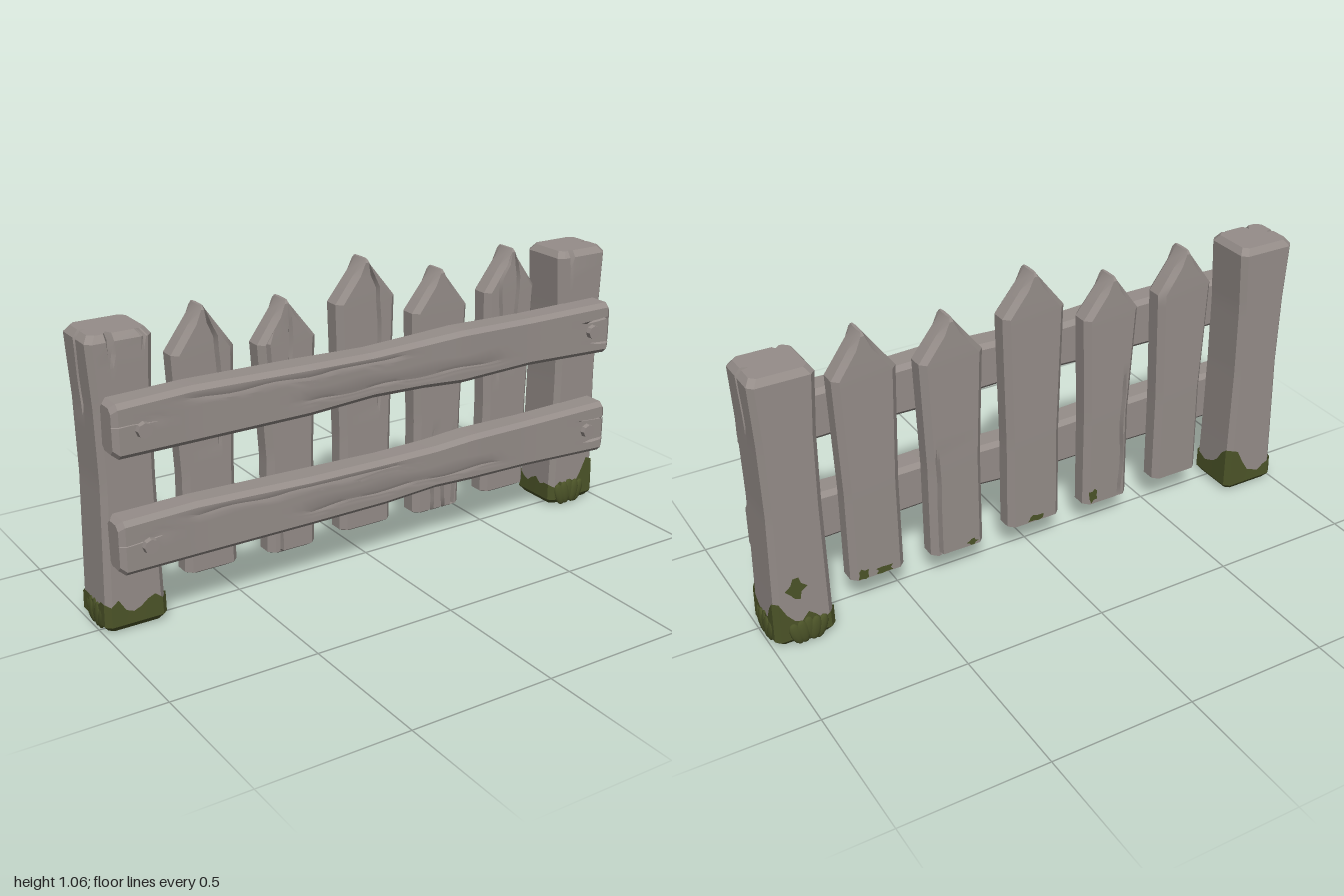
import * as THREE from 'three';
import { toCreasedNormals } from 'three/addons/utils/BufferGeometryUtils.js';

const wood = new THREE.MeshStandardMaterial({ name: 'weathered wood', color: 0x958d89 });
const moss = new THREE.MeshStandardMaterial({ name: 'moss', color: 0x4c5428, side: THREE.DoubleSide });

const upright = (u, v, t) => new THREE.Vector3(u, t, -v); // section swept up y
const lying = (u, v, t) => new THREE.Vector3(t, u, v);    // section swept along x

// Skin closed loops of points into a solid
function loft(rings, capTop = true) {
  const n = rings[0].length, pos = [], index = [];
  rings.forEach(r => r.forEach(p => pos.push(p.x, p.y, p.z)));
  for (let i = 0; i < rings.length - 1; i++) {
    for (let j = 0; j < n; j++) {
      const a = i * n + j, b = i * n + (j + 1) % n;
      index.push(a, b, b + n, a, b + n, a + n);
    }
  }
  const cap = (start, flip) => {
    const ring = rings[start / n];
    const mid = ring.reduce((s, p) => s.add(p), new THREE.Vector3()).divideScalar(n);
    const m = pos.length / 3;
    pos.push(mid.x, mid.y, mid.z);
    for (let j = 0; j < n; j++) {
      const a = start + j, b = start + (j + 1) % n;
      if (flip) index.push(m, b, a); else index.push(m, a, b);
    }
  };
  cap(0, true);
  if (capTop) cap((rings.length - 1) * n, false);
  const g = new THREE.BufferGeometry();
  g.setAttribute('position', new THREE.Float32BufferAttribute(pos, 3));
  g.setIndex(index);
  return toCreasedNormals(g, 0.5);
}

// Chamfered rectangle loop; cracks are V notches. Faces: 0 v0, 1 u1, 2 v1, 3 u0
function section([t, u0, u1, v0, v1], chamfer, cracks, map) {
  const P = [[u0, v0], [u1, v0], [u1, v1], [u0, v1]], out = [];
  for (let k = 0; k < 4; k++) {
    const a = P[k], b = P[(k + 1) % 4];
    const len = Math.abs(b[0] - a[0]) + Math.abs(b[1] - a[1]);
    const d = [(b[0] - a[0]) / len, (b[1] - a[1]) / len];
    const c = Math.min(chamfer, len * 0.25);
    const put = (s, depth) => out.push(map(a[0] + d[0] * s - d[1] * depth, a[1] + d[1] * s + d[0] * depth, t));
    put(c, 0);
    cracks.filter(q => q.face === k)
      .map(q => {
        const at = q.at + 0.004 * Math.sin(t * 23 + q.at * 40);
        const s = k % 2 ? (at - a[1]) * d[1] : (at - a[0]) * d[0];
        const fade = THREE.MathUtils.clamp(Math.min(t - q.from, q.to - t) / 0.06, 0, 1);
        return { s: THREE.MathUtils.clamp(s, len * 0.3 * Math.min(1, 0.1 / len), len - 0.3 * Math.min(len, 0.1)),
          w: Math.min(q.w, len * 0.08), depth: q.depth * fade * Math.min(1, len / 0.1) };
      })
      .sort((p, q) => p.s - q.s)
      .forEach(q => { put(q.s - q.w, 0); put(q.s, q.depth); put(q.s + q.w, 0); });
    put(len - c, 0);
  }
  return out;
}

// Timber from key sections [t, u0, u1, v0, v1], resampled and bevelled at its ends
function timber(keys, chamfer, cracks, map, endBevel = chamfer) {
  const rows = [];
  keys.forEach((k, i) => {
    rows.push(k);
    const next = keys[i + 1];
    if (!next) return;
    const steps = Math.max(1, Math.round((next[0] - k[0]) / 0.04));
    for (let s = 1; s < steps; s++) rows.push(k.map((v, j) => THREE.MathUtils.lerp(v, next[j], s / steps)));
  });
  const inset = ([t, a, b, c, d], dt, e) => [t + dt, a + e, b - e, c + e, d - e];
  rows.unshift(inset(rows[0], -endBevel, chamfer * 0.9));
  const last = rows[rows.length - 1];
  rows.push(inset(last, endBevel, Math.min(chamfer * 0.9, (last[2] - last[1]) * 0.3)));
  return loft(rows.map(r => section(r, chamfer, cracks, map)));
}

const crack = (face, at, from, to, depth = 0.02, w = 0.008) => ({ face, at, from, to, depth, w });

export function createModel() {
  const model = new THREE.Group();
  model.name = 'picketFence';
  const add = (name, geometry, material, parent = model) => {
    const m = new THREE.Mesh(geometry, material);
    m.name = name;
    parent.add(m);
    return m;
  };

  // End posts
  const F = -0.055, B = 0.137;
  add('rightPost', timber([
    [0.035, -0.992, -0.788, F, B], [0.2, -0.988, -0.792, F, B], [0.5, -0.98, -0.797, F, B],
    [0.75, -0.985, -0.795, F, B], [0.955, -0.998, -0.785, F, B]], 0.018,
  [crack(0, -0.92, 0.9, 1.1, 0.03, 0.013), crack(3, 0.04, 0.72, 1.1, 0.025, 0.009), crack(0, -0.82, 0.93, 1.1, 0.012)], upright, 0.022), wood);
  add('leftPost', timber([
    [0.035, 0.787, 0.988, F, B], [0.2, 0.79, 0.985, F, B], [0.5, 0.795, 0.98, F, B],
    [0.75, 0.793, 0.985, F, B], [0.955, 0.782, 0.995, F, B]], 0.018,
  [crack(0, 0.84, 0.9, 1.1, 0.02, 0.011), crack(1, 0.045, 0.78, 1.1, 0.025, 0.008)], upright, 0.022), wood);

  // Pickets: [bottom u0, u1, widest u0, u1, apex x, bottom y, shoulder y, apex y, cracks]
  const pickets = [
    [-0.69, -0.503, -0.705, -0.49, -0.597, 0.1, 0.855, 1.0, [crack(0, -0.555, 0.55, 1.1, 0.025)]],
    [-0.385, -0.205, -0.405, -0.193, -0.303, 0.09, 0.835, 0.972, [crack(0, -0.295, 0.72, 0.93, 0.015),
      crack(0, -0.375, 0.6, 0.9, 0.025), crack(0, -0.345, 0, 0.3, 0.03), crack(2, -0.35, 0, 0.6, 0.03)]],
    [-0.103, 0.1, -0.113, 0.115, 0, 0.1, 0.92, 1.06, [crack(0, 0.043, 0.55, 1.05, 0.025)]],
    [0.2, 0.397, 0.19, 0.415, 0.303, 0.09, 0.84, 0.98, [crack(0, 0.27, 0, 0.4, 0.025),
      crack(0, 0.32, 0, 0.32, 0.025), crack(0, 0.365, 0, 0.38, 0.03), crack(2, 0.37, 0, 0.5, 0.03)]],
    [0.5, 0.693, 0.493, 0.71, 0.604, 0.1, 0.865, 1.01, [crack(0, 0.555, 0.55, 1.0, 0.02), crack(0, 0.625, 0.6, 1.0, 0.025)]],
  ];
  pickets.forEach(([b0, b1, w0, w1, ax, y0, ys, y1, cracks], i) => {
    add('picket' + (i + 1), timber([
      [y0 + 0.018, b0, b1, -0.012, 0.076], [0.45, b0 + 0.004, b1 + 0.002, -0.012, 0.078],
      [ys, w0, w1, -0.013, 0.078], [y1 - 0.012, ax - 0.013, ax + 0.013, -0.011, 0.074]],
    0.02, cracks, upright, 0.012), wood);
  });

  // Rails across the front, with split ends
  const rails = [
    ['upperRail', [[-0.95, 0.615, 0.79], [-0.7, 0.612, 0.797], [-0.3, 0.618, 0.79], [-0.05, 0.627, 0.782],
      [0.15, 0.622, 0.79], [0.3, 0.613, 0.797], [0.6, 0.618, 0.79], [0.94, 0.607, 0.793]], 0.7],
    ['lowerRail', [[-0.95, 0.235, 0.415], [-0.7, 0.232, 0.418], [-0.3, 0.238, 0.408], [0, 0.235, 0.4],
      [0.2, 0.25, 0.403], [0.35, 0.246, 0.413], [0.6, 0.238, 0.41], [0.94, 0.226, 0.417]], 0.323],
  ];
  rails.forEach(([name, keys, y]) => {
    const rows = keys.map(([x, lo, hi]) => [x, lo, hi, 0.036, 0.138 - 0.005 * Math.cos(x * 9)]);
    add(name, timber(rows, 0.016, [
      crack(2, y + 0.025, -1.1, -0.82, 0.025, 0.01), crack(2, y + 0.03, 0.83, 1.1, 0.03, 0.012),
      crack(2, y - 0.045, 0.87, 1.1, 0.015, 0.009),
      crack(2, y + 0.055, -0.75, 0.1, 0.005, 0.014), crack(2, y - 0.03, -0.35, 0.5, 0.005, 0.014),
    ], lying, 0.018), wood);
    // Pegs
    for (const x of [-0.873, 0.868]) {
      const peg = add('peg', toCreasedNormals(new THREE.CylinderGeometry(0.024, 0.029, 0.045, 8), 0.5), wood);
      peg.rotation.x = Math.PI / 2;
      peg.position.set(x, y, 0.134);
    }
  });

  // Ragged moss sleeves around the post feet: top heights for front, +x, back, -x faces
  const sleeves = [
    ['rightPostMoss', -0.992, -0.788, [
      [0.1, 0.12, 0.08, 0.07, 0.08, 0.1, 0.11, 0.09], [0.1, 0.09, 0.08, 0.09, 0.1, 0.12, 0.16, 0.18],
      [0.18, 0.17, 0.12, 0.08, 0.07, 0.06, 0.08, 0.09], [0.09, 0.1, 0.1, 0.09, 0.08, 0.09, 0.11, 0.11]]],
    ['leftPostMoss', 0.787, 0.988, [
      [0.08, 0.1, 0.085, 0.1, 0.08, 0.12, 0.17, 0.16], [0.14, 0.12, 0.1, 0.09, 0.1, 0.1, 0.15, 0.18],
      [0.18, 0.13, 0.1, 0.09, 0.12, 0.1, 0.07, 0.09], [0.1, 0.08, 0.07, 0.09, 0.1, 0.08, 0.09, 0.09]]],
  ];
  sleeves.forEach(([name, u0, u1, heights]) => {
    const ring = (e, yOf) => {
      const P = [[u0 - e, F - e], [u1 + e, F - e], [u1 + e, B + e], [u0 - e, B + e]], out = [];
      for (let k = 0; k < 4; k++) {
        for (let s = 0; s < 8; s++) {
          const f = 0.085 + 0.83 * s / 7, a = P[k], b = P[(k + 1) % 4];
          out.push(upright(a[0] + (b[0] - a[0]) * f, a[1] + (b[1] - a[1]) * f, yOf(k, s)));
        }
      }
      return out;
    };
    add(name, loft([ring(-0.012, () => 0.01), ring(0.004, () => 0.03), ring(0.003, (k, s) => heights[k][s])], false), moss);
  });

  // Leafy tufts fanned out at the post feet: [x, z, turn about y]
  const leaf = new THREE.SphereGeometry(1, 10, 8).scale(0.022, 0.045, 0.011);
  const tufts = [[0.87, 0.057, 0], [0.988, -0.041, Math.PI / 2], [0.88, -0.14, Math.PI], [-0.988, -0.041, -Math.PI / 2]];
  tufts.forEach(([x, z, turn]) => {
    const tuft = new THREE.Group();
    tuft.name = 'mossTuft';
    tuft.position.set(x, 0, z);
    tuft.rotation.y = turn;
    model.add(tuft);
    [-2, -1, 0, 1, 2].forEach(i => {
      const blade = add('leaf', leaf, moss, tuft);
      blade.position.set(i * 0.021, 0.055 - 0.004 * Math.abs(i), i % 2 ? 0.003 : 0);
      blade.rotation.z = -i * 0.17;
    });
  });

  // Thin moss patches on the back faces: [x, y, z, width, height]
  const patches = [[0.91, 0.22, -0.139, 0.035, 0.045], [0.655, 0.14, -0.081, 0.022, 0.025], [0.58, 0.135, -0.081, 0.035, 0.017],
    [0.25, 0.125, -0.081, 0.022, 0.014], [0, 0.135, -0.081, 0.035, 0.015], [-0.235, 0.145, -0.081, 0.022, 0.03]];
  patches.forEach(([x, y, z, w, h]) => {
    const outline = [];
    for (let i = 0; i < 10; i++) {
      const a = i * Math.PI / 5, r = 0.85 + 0.25 * Math.sin(i * 2.4 + x * 9);
      outline.push(new THREE.Vector2(Math.cos(a) * r * w, Math.sin(a) * r * h));
    }
    const patch = add('mossPatch', new THREE.ShapeGeometry(new THREE.Shape(outline)), moss);
    patch.position.set(x, y, z);
    patch.rotation.y = Math.PI;
  });
  return model;
}
